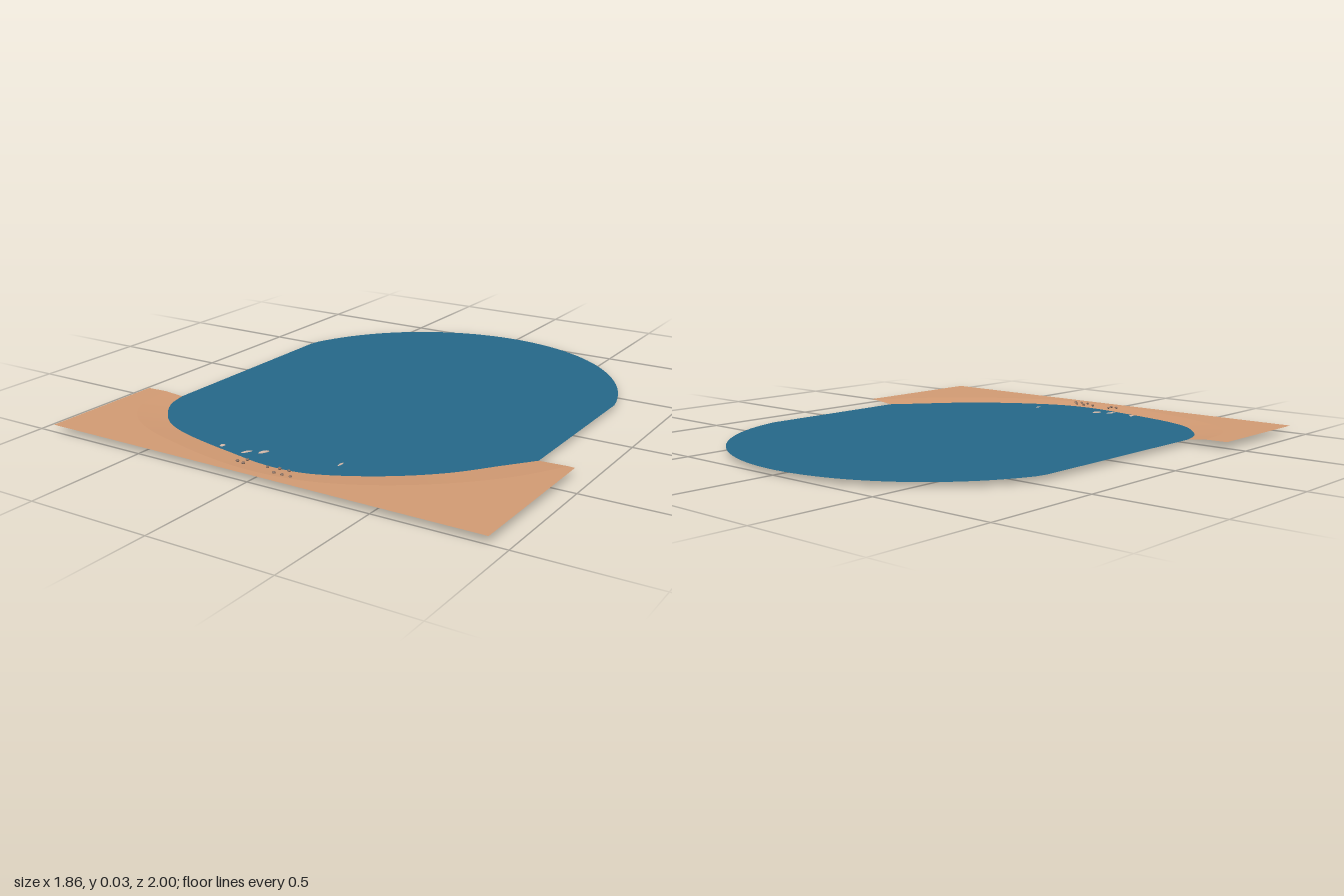
import * as THREE from 'three';

const WATER_Y = 0.02, SAND_Y = 0.029;

// Smooth line on the ground plan through [x, z] points
const smooth = (pts, n = 56) => new THREE.CatmullRomCurve3(
  pts.map(([x, z]) => new THREE.Vector3(x, 0, z)), false, 'centripetal'
).getSpacedPoints(n).map(p => new THREE.Vector2(p.x, p.z));

const shore = smooth([[-0.76, 0.47], [-0.735, 0.56], [-0.67, 0.655], [-0.59, 0.73], [-0.49, 0.78],
  [-0.35, 0.82], [-0.17, 0.857], [-0.05, 0.88], [0.05, 0.885], [0.16, 0.87], [0.3, 0.81],
  [0.45, 0.715], [0.58, 0.6], [0.7, 0.45], [0.785, 0.345]]);

const ridge = smooth([[-0.84, 0.475], [-0.81, 0.65], [-0.72, 0.77], [-0.58, 0.85], [-0.4, 0.905],
  [-0.2, 0.95], [0, 0.968], [0.2, 0.945], [0.4, 0.865], [0.6, 0.73], [0.78, 0.55], [0.905, 0.358]]);

// Flat upward-facing sheet from an [x, z] outline
function sheet(points, y) {
  const shape = new THREE.Shape(points.map(p => new THREE.Vector2(p.x, -p.y)));
  return new THREE.ShapeGeometry(shape).rotateX(-Math.PI / 2).translate(0, y, 0);
}

// Strip joining two lines of equal length at different heights
function ribbon(inner, innerY, outer, outerY) {
  const pos = [], index = [];
  inner.forEach((p, i) => {
    pos.push(p.x, innerY, p.y, outer[i].x, outerY, outer[i].y);
    if (i) {
      const a = 2 * i - 2;
      index.push(a, a + 1, a + 2, a + 1, a + 3, a + 2);
    }
  });
  const geo = new THREE.BufferGeometry();
  geo.setAttribute('position', new THREE.Float32BufferAttribute(pos, 3));
  geo.setIndex(index);
  geo.computeVertexNormals();
  return geo;
}

export function createModel() {
  const model = new THREE.Group();
  model.name = 'beach';
  const waterMat = new THREE.MeshStandardMaterial({ color: 0x26698a, side: THREE.DoubleSide });
  const sandMat = new THREE.MeshStandardMaterial({ color: 0xd49c74, side: THREE.DoubleSide });
  const shellMat = new THREE.MeshStandardMaterial({ color: 0xcfb5a6 });
  const pebbleMat = new THREE.MeshStandardMaterial({ color: 0x8f7566, flatShading: true });

  const add = (name, geo, mat, parent = model) => {
    const mesh = new THREE.Mesh(geo, mat);
    mesh.name = name;
    parent.add(mesh);
    return mesh;
  };

  // Water: shoreline in front, straight sides and a round far end
  const farEnd = [];
  const a0 = -Math.asin(0.155 / 0.8), a1 = -Math.PI + Math.asin(0.23 / 0.8);
  for (let i = 0; i <= 48; i++) {
    const a = a0 + (a1 - a0) * i / 48;
    farEnd.push(new THREE.Vector2(
      THREE.MathUtils.clamp(0.8 * Math.cos(a), -0.76, 0.785), -0.2 + 0.8 * Math.sin(a)));
  }
  add('water', sheet([...shore, ...farEnd], WATER_Y), waterMat);

  // Sand: a flat bank and the gentle slope down to the water
  const corners = [[0.93, 0.36], [0.93, 1], [-0.93, 1], [-0.93, 0.48]]
    .map(([x, z]) => new THREE.Vector2(x, z));
  add('sandBank', sheet([...ridge, ...corners], SAND_Y), sandMat);
  add('sandSlope', ribbon(shore, WATER_Y, ridge, SAND_Y), sandMat);

  // Shells: x, y, z, half width, half height, half length, turn
  const shells = new THREE.Group();
  shells.name = 'shells';
  model.add(shells);
  [[-0.26, 0.019, 0.815, 0.009, 0.006, 0.012, -0.3],
    [-0.145, 0.018, 0.82, 0.007, 0.006, 0.025, -0.5],
    [-0.09, 0.02, 0.79, 0.008, 0.006, 0.022, -0.5],
    [0.21, 0.0115, 0.74, 0.008, 0.0115, 0.027, 0]
  ].forEach(([x, y, z, w, h, l, turn]) => {
    const shell = add('shell', new THREE.SphereGeometry(1, 12, 8), shellMat, shells);
    shell.position.set(x, y, z);
    shell.scale.set(w, h, l);
    shell.rotation.y = turn;
  });

  // Pebbles scattered on the sand
  const pebbles = new THREE.Group();
  pebbles.name = 'pebbles';
  model.add(pebbles);
  [[-0.105, 0.92], [-0.08, 0.895], [-0.075, 0.925], [0.02, 0.91], [0.065, 0.9],
    [0.105, 0.9], [0.07, 0.94], [0.105, 0.94], [0.14, 0.94]
  ].forEach(([x, z], i) => {
    const pebble = add('pebble', new THREE.IcosahedronGeometry(0.007, 0), pebbleMat, pebbles);
    pebble.position.set(x, 0.029, z);
    pebble.scale.y = 0.8;
    pebble.rotation.y = i * 1.3;
  });
  return model;
}
